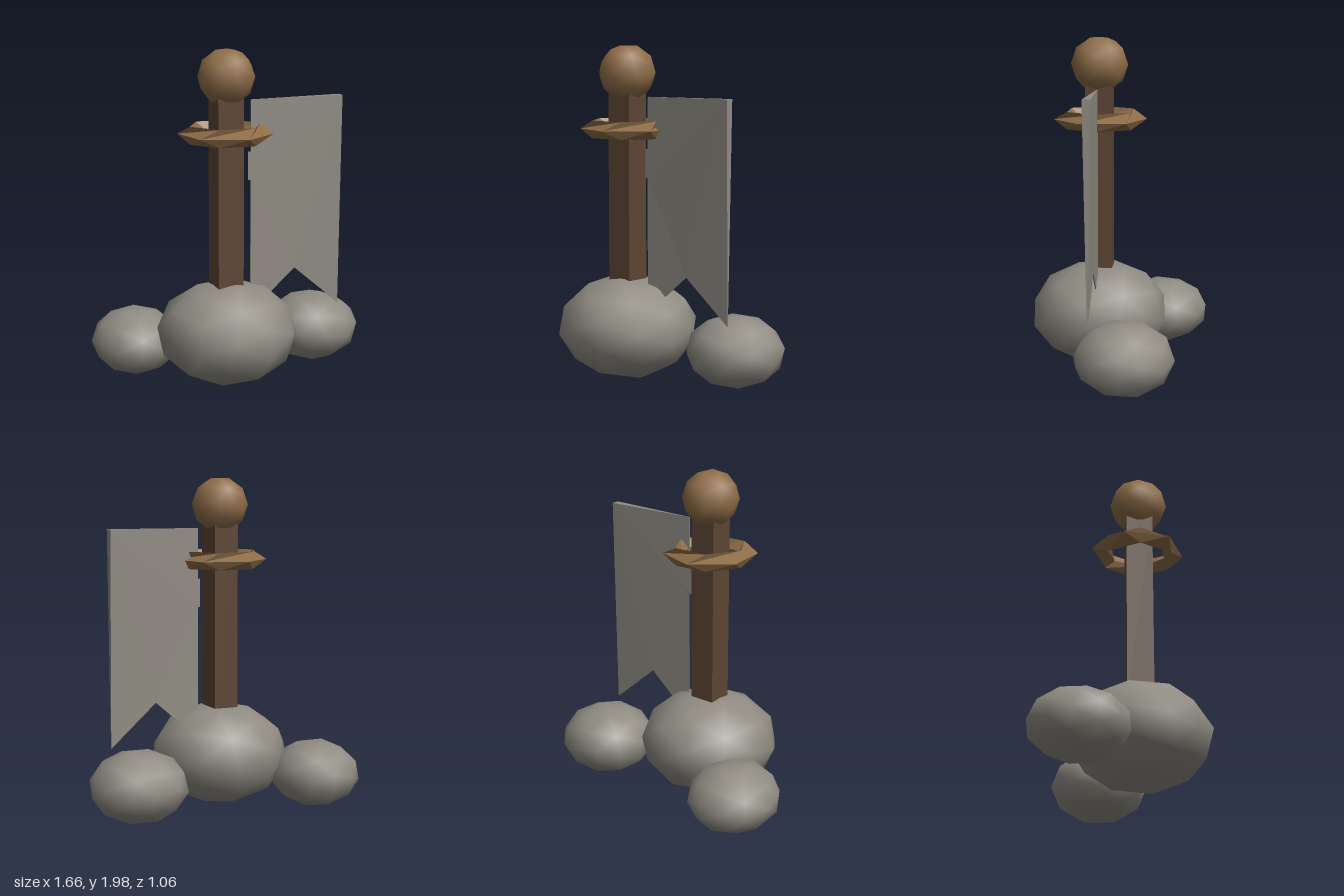
import * as THREE from 'three';

const mat = (name, color) => {
  const m = new THREE.MeshStandardMaterial({ color });
  m.name = name;
  return m;
};

export function createModel() {
  const stone = mat('grey stone', 0x908c83);
  const darkWood = mat('dark wood', 0x5c4534);
  const lightWood = mat('light wood', 0x8e6d48);
  const ringWood = lightWood.clone();
  ringWood.flatShading = true;
  ringWood.name = 'ring wood';

  const group = new THREE.Group();
  const add = (name, geometry, material, x = 0, y = 0, z = 0) => {
    const mesh = new THREE.Mesh(geometry, material);
    mesh.name = name;
    mesh.position.set(x, y, z);
    group.add(mesh);
    return mesh;
  };

  // Smooth low-poly ball, turned a little and then stretched
  const ball = (name, material, [x, y, z], [rx, ry, rz], turn, tilt) => {
    const g = new THREE.IcosahedronGeometry(1, 1);
    g.rotateX(tilt).rotateY(turn).scale(rx, ry, rz);
    return add(name, g, material, x, y, z);
  };

  // Boulders at the foot
  ball('mainBoulder', stone, [-0.11, 0.312, 0.113], [0.422, 0.312, 0.422], 0.3, 0.25);
  ball('rightBoulder', stone, [-0.57, 0.205, -0.255], [0.268, 0.203, 0.288], 0.9, 0.4);
  ball('leftBoulder', stone, [0.54, 0.22, -0.09], [0.295, 0.215, 0.293], 1.5, 0.2);

  // Square post and its round knob
  add('post', new THREE.BoxGeometry(0.158, 1.25, 0.158), darkWood, -0.113, 1.125, 0.11);
  ball('knob', lightWood, [-0.112, 1.833, 0.11], [0.168, 0.168, 0.172], 0.5, 0.35);

  // Six-sided ring with a twisted diamond section: [radius, height, turn]
  const section = [[0.28, 0, 22], [0.22, 0.052, 0], [0.175, 0, 10], [0.22, -0.052, 0]];
  const positions = [], index = [];
  for (let i = 0; i < 6; i++) {
    section.forEach(([r, y, turn], j) => {
      const a = THREE.MathUtils.degToRad(i * 60 + turn);
      positions.push(r * Math.cos(a), y, r * Math.sin(a));
      const i2 = (i + 1) % 6, j2 = (j + 1) % 4;
      const a0 = i * 4 + j, b0 = i2 * 4 + j, a1 = i * 4 + j2, b1 = i2 * 4 + j2;
      index.push(a0, a1, b0, a1, b1, b0);
    });
  }
  const ring = new THREE.BufferGeometry();
  ring.setAttribute('position', new THREE.Float32BufferAttribute(positions, 3));
  ring.setIndex(index);
  ring.computeVertexNormals();
  add('ring', ring, ringWood, -0.115, 1.503, 0.105);

  // Notched banner, thickest at its upper outer corner
  const outline = [
    [0.042, 0.41], [0.33, 0.66], [0.625, 0.41], [0.625, 1.7], [0.042, 1.695],
    [0.042, 1.39], [0.026, 1.39], [0.026, 1.22], [0.042, 1.22],
  ].map(([x, y]) => new THREE.Vector2(x, y));
  const banner = new THREE.ExtrudeGeometry(new THREE.Shape(outline), { depth: 1, bevelEnabled: false });
  const p = banner.attributes.position;
  for (let i = 0; i < p.count; i++) {
    const u = Math.max(0, (p.getX(i) - 0.042) / 0.583);
    const v = (p.getY(i) - 0.41) / 1.29;
    p.setZ(i, (p.getZ(i) - 0.5) * (0.004 + 0.046 * u * v));
  }
  banner.computeVertexNormals();
  add('banner', banner, stone, 0, 0, 0.108);

  return group;
}
